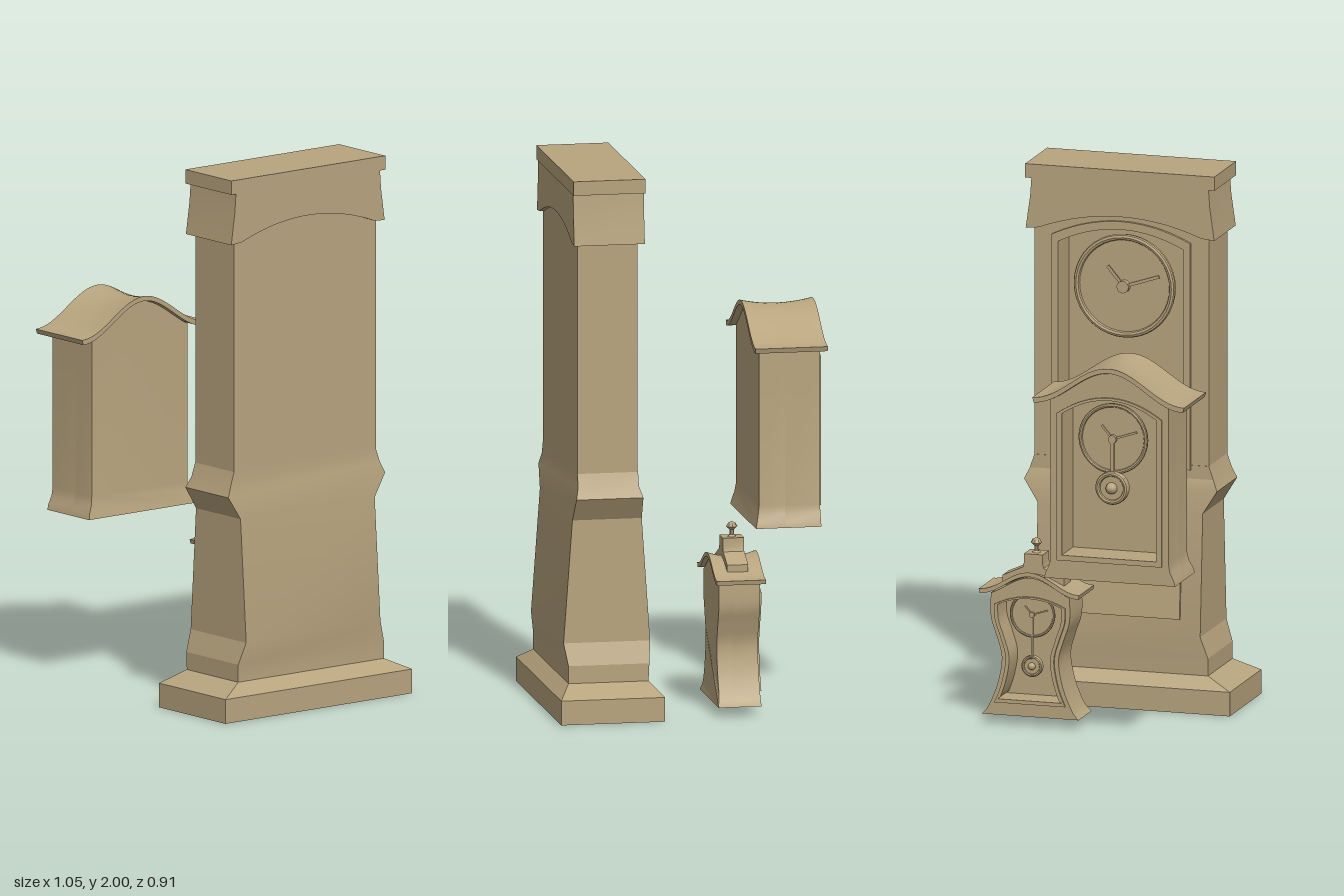
import * as THREE from 'three';
import { toCreasedNormals } from 'three/addons/utils/BufferGeometryUtils.js';

const wood = new THREE.MeshStandardMaterial({ color: 0xcccccc });
wood.color.set(0xb8a47e);

function add(parent, name, geo, crease = 0.6) {
  const mesh = new THREE.Mesh(toCreasedNormals(geo, crease), wood);
  mesh.name = name;
  parent.add(mesh);
  return mesh;
}

// Symmetric outline: side points [halfWidth, y] from the bottom up, closed by a top curve
function outline(side, top, n = 20) {
  const w = side[side.length - 1][0];
  const pts = side.map(([u, y]) => new THREE.Vector2(u, y));
  for (let i = 0; i <= n; i++) {
    const u = w - (2 * w * i) / n;
    pts.push(new THREE.Vector2(u, top(u)));
  }
  [...side].reverse().forEach(([u, y]) => pts.push(new THREE.Vector2(-u, y)));
  return pts;
}

const arch = (w, y, rise) => (u) => y + rise * (1 - (u / w) ** 2);

// Extrude a z-y outline along x from x0 to x1
function extrudeX(pts, x0, x1, hole, steps = 1) {
  const shape = new THREE.Shape(pts);
  if (hole) shape.holes.push(new THREE.Path(hole));
  const geo = new THREE.ExtrudeGeometry(shape, { depth: x1 - x0, bevelEnabled: false, steps });
  return geo.rotateY(Math.PI / 2).translate(x0, 0, 0);
}

function bend(geo, rule) {
  const p = geo.attributes.position;
  const v = new THREE.Vector3();
  for (let i = 0; i < p.count; i++) {
    rule(v.fromBufferAttribute(p, i));
    p.setXYZ(i, v.x, v.y, v.z);
  }
  return geo;
}

// Stack of rectangular sections [y, x0, x1, half width in z]
function loft(sections) {
  const pos = [], idx = [], n = sections.length;
  for (const [y, a, b, h] of sections) pos.push(a, y, h, b, y, h, b, y, -h, a, y, -h);
  for (let i = 0; i < n - 1; i++)
    for (let j = 0; j < 4; j++) {
      const a = i * 4 + j, b = i * 4 + ((j + 1) % 4);
      idx.push(a, b, b + 4, a, b + 4, a + 4);
    }
  const t = (n - 1) * 4;
  idx.push(0, 2, 1, 0, 3, 2, t, t + 1, t + 2, t, t + 2, t + 3);
  const geo = new THREE.BufferGeometry();
  geo.setAttribute('position', new THREE.Float32BufferAttribute(pos, 3));
  geo.setIndex(idx);
  geo.computeVertexNormals();
  return geo;
}

const disc = (r, d, x, y, n = 40) =>
  new THREE.CylinderGeometry(r, r, d, n).rotateZ(Math.PI / 2).translate(x, y, 0);
const ring = (r, t, x, y) =>
  new THREE.TorusGeometry(r, t, 8, 40).rotateY(Math.PI / 2).translate(x, y, 0);

// Round dial facing -x, with rim, hub and two hands
function dial(parent, x, y, r) {
  const g = new THREE.Group();
  g.name = 'dial';
  parent.add(g);
  add(g, 'dialFace', disc(r, r * 0.1, x, y));
  add(g, 'dialRim', ring(r * 0.96, r * 0.06, x - r * 0.05, y));
  add(g, 'hub', disc(r * 0.12, r * 0.16, x - r * 0.1, y, 16));
  for (const [len, turn] of [[0.75, 1.25], [0.5, -0.7]]) {
    const hand = new THREE.BoxGeometry(r * 0.03, r * len, r * 0.06).translate(0, (r * len) / 2, 0);
    add(g, 'hand', hand.rotateX(turn).translate(x - r * 0.1, y, 0));
  }
}

// Pendulum with rod, round bob and front knob
function pendulum(parent, x, yTop, yBob, r) {
  const g = new THREE.Group();
  g.name = 'pendulum';
  parent.add(g);
  add(g, 'rod', new THREE.BoxGeometry(r * 0.15, yTop - yBob, r * 0.2).translate(x, (yTop + yBob) / 2, 0));
  add(g, 'bob', disc(r, r * 0.35, x, yBob, 28));
  add(g, 'bobRim', ring(r * 0.85, r * 0.15, x - r * 0.17, yBob));
  add(g, 'bobKnob', new THREE.SphereGeometry(r * 0.35, 16, 10).translate(x - r * 0.2, yBob, 0));
}

// Small clock: hollow case with framed arched opening and a swept saddle roof
function bracketClock(o) {
  const g = new THREE.Group();
  g.name = o.name;
  const roofY = (u) => o.tip + (o.apex - o.tip) * (0.5 + 0.5 * Math.cos((Math.PI * u) / o.roofHalf));
  const { front, wall, back, floor } = o;
  const under = (u) => roofY(u) - o.sag - 0.006;
  const body = outline(o.side, under);
  const opening = (inset, lift) => {
    const side = o.opening.map(([w, y], i) => [w - inset, i ? y : y + lift]);
    const [w, y] = side[side.length - 1];
    return outline(side, arch(w, y, o.rise - inset * 0.5));
  };
  const inner = opening(o.trim, o.trim);
  // foot flares out at the rear
  const flare = (geo) => bend(geo, (v) => {
    if (v.y < o.flareTop && v.x > back - 0.01) v.x += (o.flare * (o.flareTop - v.y)) / (o.flareTop - floor);
  });
  add(g, 'caseFront', extrudeX(body, front, wall, inner));
  add(g, 'caseBack', flare(extrudeX(body, wall, back)));
  add(g, 'frame', extrudeX(opening(0, 0), front - 0.008, front + 0.004, inner));

  // roof slab, dipping midway along its ridge
  const slab = [];
  const N = 32;
  for (let i = 0; i <= N; i++) {
    const u = o.roofHalf * (1 - (2 * i) / N);
    slab.push(new THREE.Vector2(u, roofY(u)));
  }
  for (let i = N; i >= 0; i--) slab.push(new THREE.Vector2(slab[i].x * 0.98, slab[i].y - o.thick));
  const [r0, r1] = o.roofX;
  const roof = bend(extrudeX(slab, r0, r1, null, 12), (v) => {
    const s = (2 * (v.x - r0)) / (r1 - r0) - 1;
    v.y -= (o.sag * (1 - s * s) * Math.max(0, v.y - o.tip)) / (o.apex - o.tip);
  });
  add(g, 'roof', roof, 0.8);

  dial(g, o.dial[0], o.dial[1], o.dial[2]);
  pendulum(g, o.bob[0], o.dial[1], o.bob[1], o.bob[2]);
  g.position.z = o.z;
  return g;
}

function longcaseClock() {
  const g = new THREE.Group();
  g.name = 'longcaseClock';
  // plinth, tapered lower case and waist moulding
  add(g, 'lowerCase', loft([
    [0, 0.14, 0.525, 0.438], [0.09, 0.14, 0.525, 0.438], [0.135, 0.183, 0.48, 0.342],
    [0.2, 0.18, 0.48, 0.342], [0.28, 0.172, 0.493, 0.315], [0.735, 0.203, 0.46, 0.315],
    [0.82, 0.207, 0.455, 0.368], [0.86, 0.22, 0.446, 0.35], [0.91, 0.22, 0.445, 0.333]]), 0.3);
  const panel = add(g, 'lowerPanel', new THREE.BoxGeometry(0.03, 0.34, 0.475));
  panel.position.set(0.195, 0.51, 0);
  panel.rotation.z = -0.09;

  // upper case with arched opening
  const body = outline([[0.333, 0.91]], () => 1.9, 2);
  const inner = outline([[0.24, 0.925], [0.24, 1.715]], arch(0.24, 1.715, 0.06));
  const outer = outline([[0.265, 0.893], [0.265, 1.74]], arch(0.265, 1.74, 0.065));
  add(g, 'upperCaseFront', extrudeX(body, 0.222, 0.345, inner));
  add(g, 'upperCaseBack', extrudeX(body, 0.345, 0.445));
  add(g, 'frame', extrudeX(outer, 0.21, 0.225, inner));
  dial(g, 0.265, 1.555, 0.19);

  // flared crown with arched lower edge, then the cap
  const crown = outline([[0.338, 1.95], [0.343, 1.88], [0.36, 1.76], [0.31, 1.765]], arch(0.31, 1.765, 0.06));
  add(g, 'crown', extrudeX(crown, 0.2, 0.462));
  add(g, 'cap', new THREE.BoxGeometry(0.267, 0.052, 0.722).translate(0.331, 1.974, 0));
  g.position.z = -0.018;
  return g;
}

export function createModel() {
  const model = new THREE.Group();
  model.name = 'clocks';
  model.add(longcaseClock());

  model.add(bracketClock({
    name: 'mediumClock', z: 0.165, front: -0.511, wall: -0.38, back: -0.285, floor: 0.63,
    side: [[0.25, 0.63], [0.245, 0.65], [0.23, 0.68], [0.225, 0.71]],
    flare: 0.016, flareTop: 0.7,
    opening: [[0.2, 0.7], [0.2, 1.25]], trim: 0.02, rise: 0.07,
    tip: 1.305, apex: 1.432, roofHalf: 0.29, roofX: [-0.528, -0.26], sag: 0.016, thick: 0.018,
    dial: [-0.46, 1.157, 0.13], bob: [-0.475, 0.976, 0.062],
  }));

  // waisted sides follow a smooth curve
  const waist = new THREE.SplineCurve([[0.185, 0.035], [0.16, 0.065], [0.125, 0.15], [0.108, 0.25],
    [0.128, 0.33], [0.15, 0.4], [0.15, 0.49]].map(([u, y]) => new THREE.Vector2(u, y)));
  const side = waist.getPoints(24).map((p) => [p.x, p.y]);
  const small = bracketClock({
    name: 'smallClock', z: -0.227, front: -0.227, wall: -0.13, back: -0.075, floor: 0.035,
    side, flare: 0.007, flareTop: 0.07,
    opening: side.filter(([, y]) => y > 0.08 && y < 0.47).map(([u, y]) => [u - 0.016, y]),
    trim: 0.014, rise: 0.035,
    tip: 0.505, apex: 0.578, roofHalf: 0.192, roofX: [-0.242, -0.06], sag: 0.018, thick: 0.016,
    dial: [-0.195, 0.412, 0.085], bob: [-0.2, 0.22, 0.04],
  });
  model.add(small);

  // stepped pedestal and finial on the small roof
  const step = outline([[0.117, 0.515], [0.117, 0.55], [0.04, 0.585], [0.036, 0.6], [0.036, 0.635]], () => 0.635, 2);
  add(small, 'pedestal', extrudeX(step, -0.19, -0.112), 0.3);
  const finial = new THREE.LatheGeometry([[0, 0.63], [0.016, 0.635], [0.008, 0.642], [0.008, 0.66],
    [0.021, 0.672], [0.014, 0.684], [0, 0.691]].map(([r, y]) => new THREE.Vector2(r, y)), 8);
  add(small, 'finial', finial.translate(-0.151, 0, 0), 0.3);
  return model;
}
